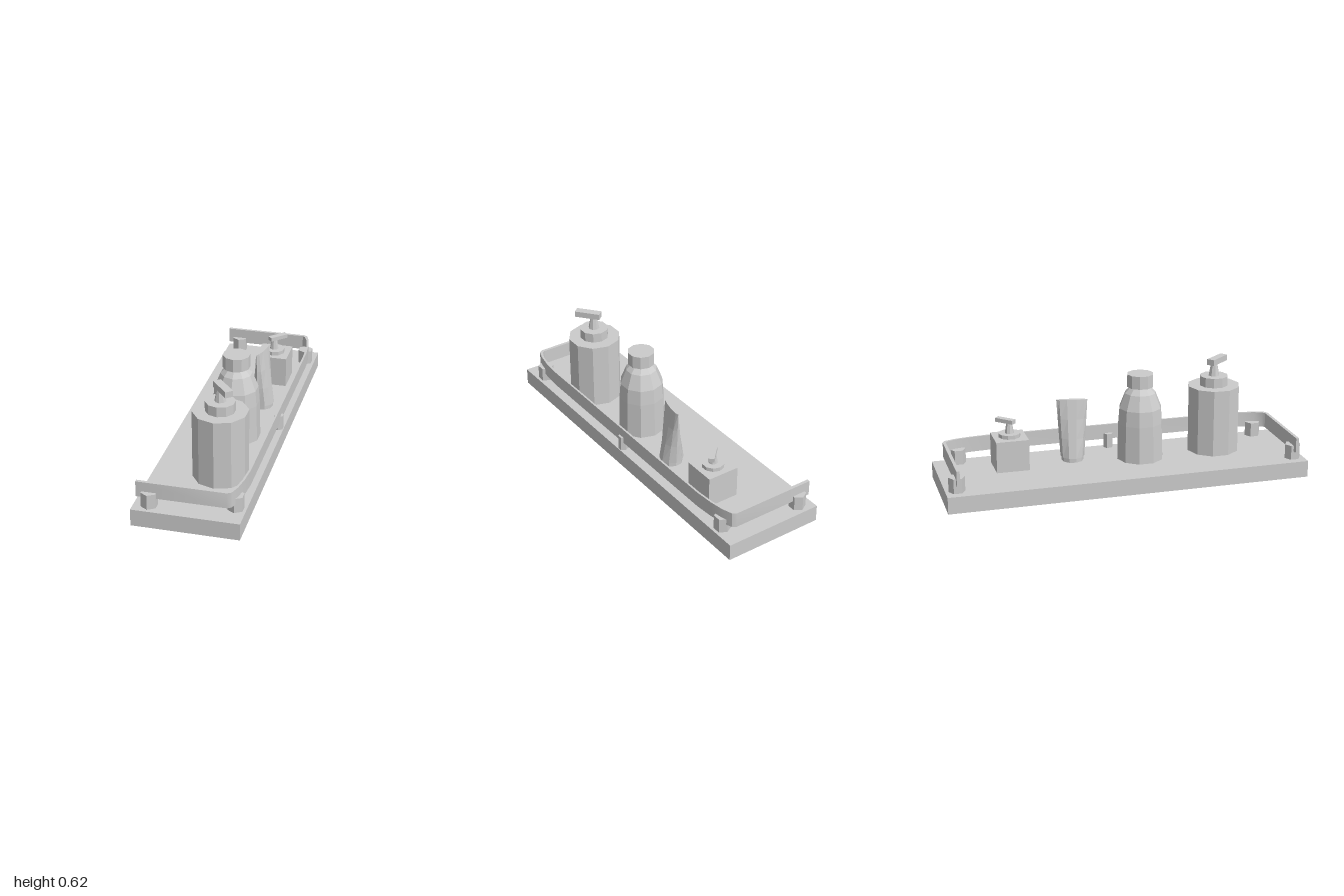
import * as THREE from 'three';
import { toCreasedNormals } from 'three/addons/utils/BufferGeometryUtils.js';

const flat = new THREE.MeshStandardMaterial({ color: 0xcccccc, flatShading: true });
const smooth = new THREE.MeshStandardMaterial({ color: 0xcccccc });
const FLOOR = 0.092; // top of the tray board

function add(parent, name, geometry, x = 0, y = 0, z = 0, material = flat) {
  const mesh = new THREE.Mesh(geometry, material);
  mesh.name = name;
  mesh.position.set(x, y, z);
  parent.add(mesh);
  return mesh;
}

// Cylinder or cone frustum standing between two heights
function drum(parent, name, rTop, rBottom, y0, y1, sides = 10, x = 0, z = 0) {
  return add(parent, name, new THREE.CylinderGeometry(rTop, rBottom, y1 - y0, sides), x, (y0 + y1) / 2, z);
}

function part(parent, name, x, z) {
  const group = new THREE.Group();
  group.name = name;
  group.position.set(x, 0, z);
  parent.add(group);
  return group;
}

// Collar, tapered stem and an off-centre bar turned about the stem
function pump(parent, y, s) {
  drum(parent, 'pumpCollar', s.collar, s.collar, y, y + s.collarH);
  drum(parent, 'pumpStem', s.stemTop, s.stemBottom, y + s.collarH, s.headY, 8);
  const head = add(parent, 'pumpHead', new THREE.BoxGeometry(s.width, s.headH, s.length),
    Math.sin(s.angle) * s.shift, s.headY + s.headH / 2, Math.cos(s.angle) * s.shift);
  head.rotation.y = s.angle;
}

export function createModel() {
  const model = new THREE.Group();
  model.name = 'toiletryTray';
  add(model, 'trayBoard', new THREE.BoxGeometry(0.56, FLOOR, 2), 0, FLOOR / 2, 0);

  // Rail: three-sided band with rounded corners
  const outer = [[-0.265, 0.947], [0.2, 0.947], [0.222, 0.934], [0.241, 0.88], [0.255, 0.8], [0.263, 0.7]];
  const inner = [[-0.265, 0.93], [0.195, 0.93], [0.21, 0.918], [0.23, 0.874], [0.244, 0.8], [0.252, 0.7]];
  const mirrored = (pts) => [...pts, ...pts.map(([x, z]) => [x, -z]).reverse()];
  const outline = [...mirrored(outer), ...mirrored(inner).reverse()];
  const railShape = new THREE.Shape(outline.map(([x, z]) => new THREE.Vector2(x, z)));
  const rail = new THREE.ExtrudeGeometry(railShape, { depth: 0.085, bevelEnabled: false });
  rail.rotateX(-Math.PI / 2);
  add(model, 'rail', toCreasedNormals(rail, 0.6), 0, 0.14, 0, smooth);

  // Hexagonal rail posts
  for (const side of [-1, 1]) {
    drum(model, 'endPost', 0.044, 0.044, FLOOR, 0.172, 6, -0.198, side * 0.938);
    drum(model, 'cornerPost', 0.044, 0.044, FLOOR, 0.172, 6, 0.226, side * 0.863);
  }
  drum(model, 'middlePost', 0.027, 0.027, FLOOR, 0.174, 6, 0.2515, 0);

  // Tall pump bottle
  const tall = part(model, 'tallPumpBottle', 0.07, 0.563);
  drum(tall, 'bottleBody', 0.146, 0.146, FLOOR, 0.468);
  pump(tall, 0.468, {
    collar: 0.079, collarH: 0.054, stemTop: 0.019, stemBottom: 0.031,
    headY: 0.587, headH: 0.033, width: 0.043, length: 0.143, angle: 0.69, shift: 0.032,
  });

  // Round-shouldered bottle with a screw cap
  const round = part(model, 'capBottle', 0.044, 0.127);
  const profile = [[0, FLOOR], [0.131, FLOOR], [0.126, 0.3], [0.119, 0.385], [0.086, 0.468], [0.05, 0.505], [0, 0.505]];
  add(round, 'bottleBody', new THREE.LatheGeometry(profile.map(([r, y]) => new THREE.Vector2(r, y)), 10));
  drum(round, 'bottleCap', 0.074, 0.074, 0.503, 0.575);

  // Squeeze tube: round at its cap, flattened at the crimped top
  const tube = part(model, 'squeezeTube', 0.103, -0.245);
  tube.rotation.y = -0.2;
  drum(tube, 'tubeCap', 0.06, 0.06, FLOOR, 0.117);
  const body = new THREE.CylinderGeometry(0.066, 0.066, 0.323, 10, 3);
  const p = body.attributes.position;
  for (let i = 0; i < p.count; i++) {
    const t = p.getY(i) / 0.323 + 0.5;
    p.setX(i, p.getX(i) * (1 - 0.8 * t));
    p.setZ(i, p.getZ(i) * (1 + 0.29 * t));
  }
  add(tube, 'tubeBody', body, 0, 0.117 + 0.323 / 2, 0);

  // Square pump jar
  const square = part(model, 'squarePumpJar', 0.091, -0.598);
  add(square, 'jarBody', new THREE.BoxGeometry(0.18, 0.173, 0.18), 0, FLOOR + 0.0865, 0);
  pump(square, 0.265, {
    collar: 0.06, collarH: 0.021, stemTop: 0.016, stemBottom: 0.025,
    headY: 0.34, headH: 0.022, width: 0.033, length: 0.112, angle: 2.36, shift: 0.025,
  });
  return model;
}
